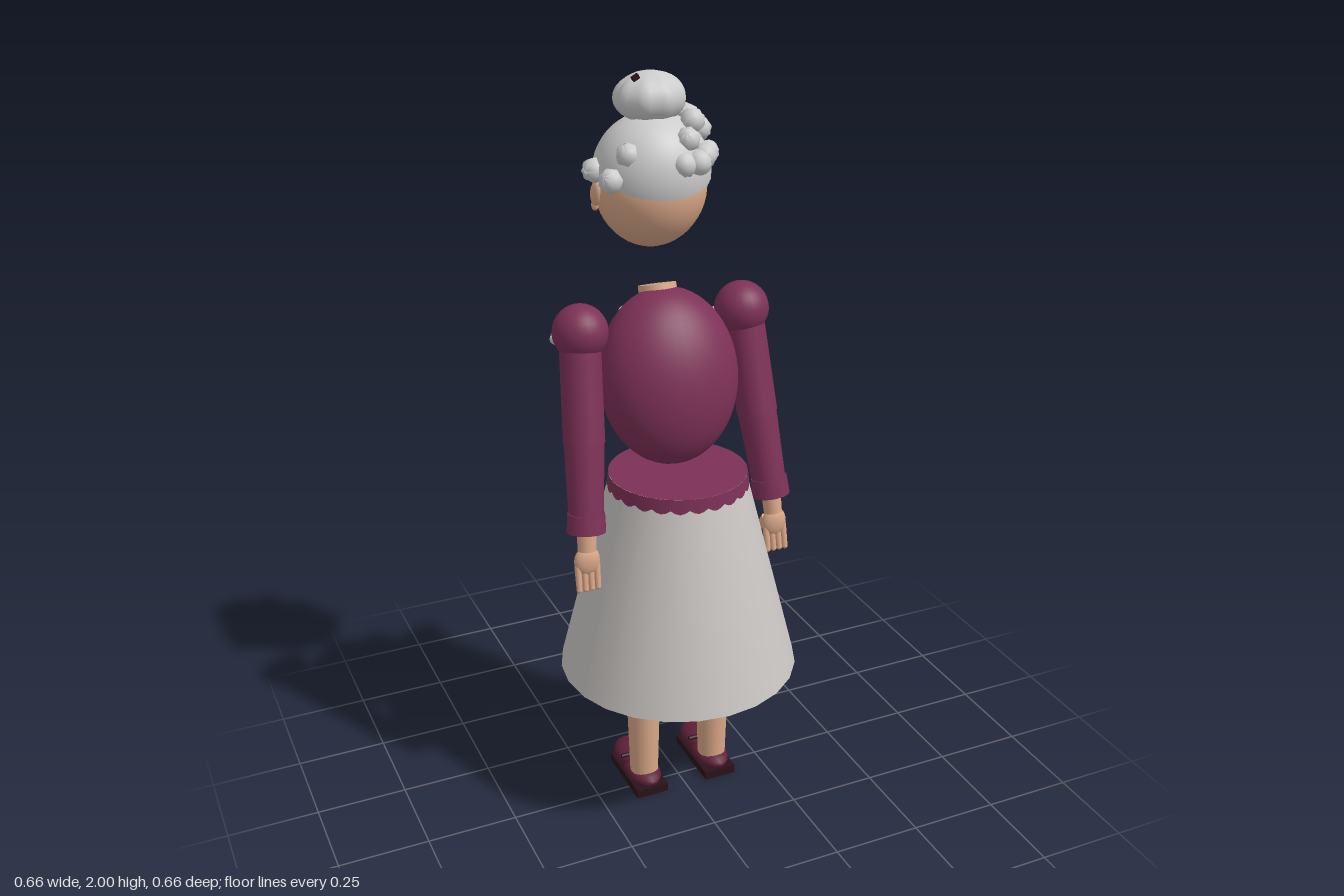
import * as THREE from 'three';

export function createModel() {
  const root = new THREE.Group();
  const mat = (name, color, side = THREE.FrontSide) => {
    const m = new THREE.MeshStandardMaterial({ color, side });
    m.name = name;
    return m;
  };
  const skin = mat('skin', 0xdaa888);
  const wool = mat('plumWool', 0x7d3156, THREE.DoubleSide);
  const cloth = mat('skirtCloth', 0xc9c5c2, THREE.DoubleSide);
  const hair = mat('greyHair', 0xcccccd, THREE.DoubleSide);
  const leather = mat('shoeLeather', 0x5f2139);
  const dark = mat('darkSole', 0x2a1218);
  const red = mat('redJewel', 0xa81c20);
  const gold = mat('goldButton', 0xb89a4a);

  const add = (name, geo, m, x = 0, y = 0, z = 0, rx = 0, rz = 0) => {
    const mesh = new THREE.Mesh(geo, m);
    mesh.name = name;
    mesh.position.set(x, y, z);
    mesh.rotation.set(rx, 0, rz);
    root.add(mesh);
    return mesh;
  };
  // Ellipsoid with the given half sizes
  const ball = (name, m, p, r, rx = 0, w = 24, h = 16, rz = 0) =>
    add(name, new THREE.SphereGeometry(1, w, h).scale(...r), m, ...p, rx, rz);
  // Tapered cylinder from point a to point b
  const limb = (name, m, a, b, ra, rb, seg = 20) => {
    const A = new THREE.Vector3(...a), B = new THREE.Vector3(...b);
    const d = B.clone().sub(A);
    const mesh = add(name, new THREE.CylinderGeometry(rb, ra, d.length(), seg), m);
    mesh.position.copy(A).addScaledVector(d, 0.5);
    mesh.quaternion.setFromUnitVectors(new THREE.Vector3(0, 1, 0), d.normalize());
    return mesh;
  };
  const reshape = (geo, fn) => {
    const p = geo.attributes.position, v = new THREE.Vector3();
    for (let i = 0; i < p.count; i++) {
      fn(v.fromBufferAttribute(p, i));
      p.setXYZ(i, v.x, v.y, v.z);
    }
    geo.computeVertexNormals();
    return geo;
  };

  // Skirt
  add('skirt', new THREE.CylinderGeometry(0.184, 0.328, 0.565, 24, 1, true), cloth, 0, 0.6875, 0);

  // Waist band with a scalloped lower edge
  const band = reshape(new THREE.CylinderGeometry(0.186, 0.19, 0.03, 96, 1, true), (v) => {
    if (v.y < 0) v.y -= 0.011 * Math.abs(Math.sin(Math.atan2(v.z, v.x) * 12));
  });
  add('waistBand', band, wool, 0, 0.97, 0);
  add('waistTop', new THREE.CircleGeometry(0.186, 24), wool, 0, 0.985, 0, -Math.PI / 2);

  // Torso, leaning towards -z, with neck
  ball('torso', wool, [0, 1.23, -0.06], [0.19, 0.235, 0.143], -0.22, 40, 28);
  limb('neck', skin, [0, 1.34, -0.095], [0, 1.46, -0.133], 0.055, 0.05, 20);
  ball('throat', skin, [0, 1.405, -0.145], [0.052, 0.05, 0.04]);

  // Blouse front, lapels and buttons
  ball('blouseFront', cloth, [0, 1.27, -0.185], [0.058, 0.125, 0.03], -0.15);
  for (const s of [-1, 1]) {
    ball('lapel', wool, [s * 0.062, 1.225, -0.213], [0.034, 0.128, 0.014], -0.19, 20, 14, s * -0.04);
    ball('collarTip', cloth, [s * 0.06, 1.375, -0.185], [0.03, 0.022, 0.018], 0, 12, 8);
  }
  [[1.21, -0.232], [1.15, -0.217], [1.09, -0.194]].forEach(([y, z]) =>
    ball('button', gold, [0.05, y, z], [0.007, 0.007, 0.005], 0, 8, 6));

  // Arms and hands
  for (const s of [-1, 1]) {
    ball('shoulder', wool, [s * 0.229, 1.373, -0.098], [0.073, 0.073, 0.073]);
    limb('upperArm', wool, [s * 0.232, 1.36, -0.095], [s * 0.25, 1.095, -0.035], 0.054, 0.055);
    limb('forearm', wool, [s * 0.25, 1.095, -0.035], [s * 0.268, 0.9, 0.012], 0.053, 0.046);
    const cuff = limb('cuff', wool, [s * 0.267, 0.915, 0.01], [s * 0.271, 0.865, 0.02], 0.05, 0.052, 12);
    cuff.material = wool;
    limb('wrist', skin, [s * 0.27, 0.88, 0.018], [s * 0.274, 0.815, 0.028], 0.027, 0.025, 14);
    ball('palm', skin, [s * 0.276, 0.785, 0.031], [0.036, 0.043, 0.021], 0, 16, 12);
    for (let i = 0; i < 4; i++) {
      const x = s * (0.25 + i * 0.0175);
      limb('finger', skin, [x, 0.775, 0.033], [x + s * 0.002, 0.712, 0.046], 0.0095, 0.008, 8);
      ball('fingertip', skin, [x + s * 0.002, 0.711, 0.046], [0.0085, 0.0085, 0.0085], 0, 8, 6);
    }
    limb('thumb', skin, [s * 0.255, 0.80, 0.02], [s * 0.245, 0.755, -0.002], 0.011, 0.009, 8);
    // Pale puff in front of the shoulder
    const puff = reshape(new THREE.SphereGeometry(1, 20, 10), (v) => {
      const k = 1 + 0.04 * Math.cos(Math.atan2(v.z, v.x) * 10);
      v.set(v.x * 0.048 * k, v.y * 0.025, v.z * 0.033 * k);
    });
    add('shoulderPuff', puff, cloth, s * 0.227, 1.325, -0.2);
  }

  // Legs and shoes
  for (const s of [-1, 1]) {
    const x = s * 0.107;
    limb('thigh', skin, [x, 0.43, 0], [x, 0.85, 0], 0.052, 0.06);
    limb('shin', skin, [x, 0.05, 0], [x, 0.43, 0], 0.04, 0.051);
    add('sole', new THREE.BoxGeometry(0.094, 0.024, 0.205), dark, x, 0.012, -0.04);
    ball('shoeBody', leather, [x, 0.038, -0.015], [0.048, 0.028, 0.08], 0, 20, 12);
    ball('shoeToe', leather, [x, 0.05, -0.09], [0.05, 0.031, 0.07], 0, 20, 12);
    limb('shoeStrap', dark, [x - 0.056, 0.085, -0.035], [x + 0.056, 0.085, -0.035], 0.006, 0.006, 8);
  }

  // Head, narrowing to the chin
  const head = reshape(new THREE.SphereGeometry(1, 36, 24), (v) => {
    const k = v.y < 0 ? 1 + 0.05 * v.y : 1;
    v.set(v.x * 0.146 * k, v.y * 0.15, v.z * 0.139 * k);
  });
  add('head', head, skin, 0, 1.705, -0.17);
  ball('nose', skin, [0, 1.645, -0.305], [0.021, 0.034, 0.025], 0, 16, 12);
  for (const s of [-1, 1]) {
    ball('ear', skin, [s * 0.147, 1.705, -0.175], [0.014, 0.036, 0.022], 0.3, 12, 10);
    ball('earLobe', skin, [s * 0.147, 1.672, -0.185], [0.01, 0.014, 0.011], 0, 10, 8);
  }
  add('earring', new THREE.BoxGeometry(0.012, 0.036, 0.014), red, 0.152, 1.668, -0.2, 0.45);

  // Hair cap, high over the forehead and low at the nape
  const cap = new THREE.SphereGeometry(1, 36, 16, 0, Math.PI * 2, 0, Math.PI * 0.48);
  add('hairCap', cap.scale(0.153, 0.155, 0.146), hair, 0, 1.748, -0.163, 0.34);

  // Pleated bun and pin
  const bun = reshape(new THREE.SphereGeometry(1, 36, 14), (v) => {
    const k = 1 + 0.035 * Math.cos(Math.atan2(v.z, v.x) * 9);
    v.set(v.x * 0.092 * k, v.y * 0.065, v.z * 0.084 * k);
  });
  add('bun', bun, hair, 0, 1.934, -0.17);
  add('hairPin', new THREE.BoxGeometry(0.018, 0.012, 0.012), dark, -0.05, 1.99, -0.143, 0, 0.5);

  // Curls
  const curls = [
    [0.032, 1.79, -0.035], [0.055, 1.845, -0.063], [0.1, 1.8, -0.063], [0.0875, 1.88, -0.107],
    [0.14, 1.79, -0.134], [0.142, 1.84, -0.184], [0.11, 1.875, -0.19], [0.055, 1.86, -0.262],
    [0.06, 1.875, -0.245], [-0.095, 1.815, -0.085], [-0.14, 1.755, -0.09], [-0.152, 1.765, -0.173],
    [0.075, 1.79, -0.04],
  ];
  curls.forEach(([x, y, z], i) => {
    const curl = reshape(new THREE.SphereGeometry(1, 14, 9), (v) =>
      v.multiplyScalar(0.031 * (1 + 0.05 * Math.cos(Math.atan2(v.z, v.x) * 7))));
    add('curl', curl, hair, x, y, z, i * 0.7, i * 0.4);
  });

  return root;
}
